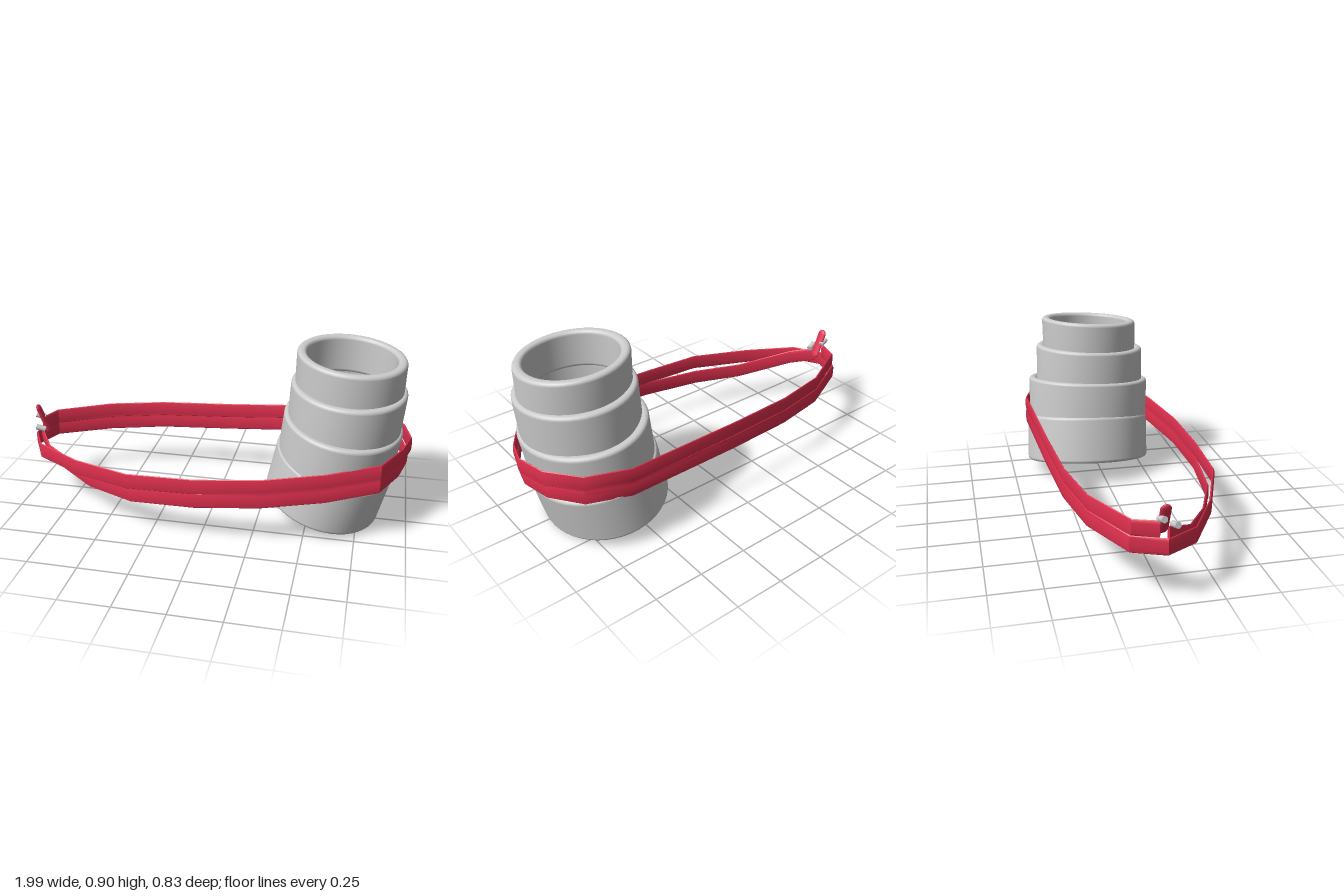
import * as THREE from 'three';
import { toCreasedNormals } from 'three/addons/utils/BufferGeometryUtils.js';

// Skins a list of closed rings; wrap joins the last ring back to the first.
function loft(rings, wrap) {
  const n = rings[0].length, m = rings.length, pos = [], idx = [];
  rings.forEach(r => r.forEach(p => pos.push(p.x, p.y, p.z)));
  for (let i = 0; i < (wrap ? m : m - 1); i++) {
    for (let j = 0; j < n; j++) {
      const a = i * n + j, b = i * n + (j + 1) % n;
      const k = ((i + 1) % m) * n, c = k + j, d = k + (j + 1) % n;
      idx.push(a, c, b, b, c, d);
    }
  }
  const g = new THREE.BufferGeometry();
  g.setAttribute('position', new THREE.Float32BufferAttribute(pos, 3));
  g.setIndex(idx);
  g.computeVertexNormals();
  return g;
}

// Frame of a sleeve end: centre, radii in x and z, slopes of its plane along x and z.
const frame = (x, y, z, rx, rz, sx, sz) => ({ x, y, z, rx, rz, sx, sz });

// Hollow oval sleeve with rounded lips between two tilted end frames.
function sleeveGeometry(bottom, top, wall = 0.046) {
  const f = 0.018, profile = [];
  const corner = (end, inset, dir, start) => {
    for (let k = 0; k <= 4; k++) {
      const a = start + k * Math.PI / 8;
      profile.push([end, inset - f * Math.cos(a), dir + f * Math.sin(a)]);
    }
  };
  corner(0, f, f, -Math.PI / 2);
  profile.splice(0, 5, ...profile.map(([e, , h], k) =>
    [e, f - f * Math.cos(-Math.PI / 2 + k * Math.PI / 8), h]));
  corner(1, f, -f, 0);
  corner(1, wall - f, -f, Math.PI / 2);
  corner(0, wall - f, f, Math.PI);
  const rings = profile.map(([end, inset, dy]) => {
    const height = top.y - bottom.y;
    const t = end + dy / height, p = {};
    for (const key in bottom) p[key] = THREE.MathUtils.lerp(bottom[key], top[key], t);
    return Array.from({ length: 48 }, (_, j) => {
      const a = j / 48 * Math.PI * 2;
      const dx = (p.rx - inset) * Math.cos(a), dz = (p.rz - inset) * Math.sin(a);
      return new THREE.Vector3(p.x + dx, p.y + p.sx * dx + p.sz * dz, p.z + dz);
    });
  });
  return loft(rings, true);
}

// Upright flat band with softly rounded edges, following straight path segments.
function bandGeometry(points, halfHeight, halfThick) {
  const path = points.map(p => new THREE.Vector3(...p));
  const up = new THREE.Vector3(0, 1, 0);
  const section = [[1, 0], [0.85, 0.6], [0.5, 0.92], [0, 1], [-0.5, 0.92], [-0.85, 0.6],
    [-1, 0], [-0.85, -0.6], [-0.5, -0.92], [0, -1], [0.5, -0.92], [0.85, -0.6]];
  const rings = path.map((p, i) => {
    const tangent = path[Math.min(i + 1, path.length - 1)].clone()
      .sub(path[Math.max(i - 1, 0)]).setY(0).normalize();
    const side = tangent.cross(up);
    return section.map(([u, v]) => p.clone()
      .addScaledVector(side, u * halfThick).addScaledVector(up, v * halfHeight));
  });
  const cap = p => section.map(() => p.clone());
  return toCreasedNormals(loft([cap(path[0]), ...rings, cap(path[path.length - 1])], false), 0.6);
}

export function createModel() {
  const model = new THREE.Group();
  const grey = new THREE.MeshStandardMaterial({ color: 0xcccccc });
  const red = new THREE.MeshStandardMaterial({ color: 0xe0304e, side: THREE.DoubleSide });
  const add = (name, geometry, material, parent = model) => {
    const mesh = new THREE.Mesh(geometry, material);
    mesh.name = name;
    parent.add(mesh);
    return mesh;
  };

  // Telescoping stack of four sleeves, leaning and narrowing upwards
  const tube = new THREE.Group();
  tube.name = 'telescopingTube';
  model.add(tube);
  [
    [frame(0.56, 0.075, -0.065, 0.292, 0.35, -0.24, -0.04),
      frame(0.62, 0.325, -0.055, 0.296, 0.347, -0.25, -0.05)],
    [frame(0.613, 0.29, -0.052, 0.285, 0.338, -0.25, -0.05),
      frame(0.65, 0.54, -0.042, 0.297, 0.342, -0.13, -0.06)],
    [frame(0.65, 0.51, -0.035, 0.28, 0.304, -0.13, -0.06),
      frame(0.667, 0.725, -0.03, 0.284, 0.302, -0.07, -0.06)],
    [frame(0.665, 0.69, -0.032, 0.265, 0.262, -0.07, -0.06),
      frame(0.67, 0.88, -0.032, 0.266, 0.264, -0.075, -0.065)],
  ].forEach(([b, t], i) => add('sleeve' + (i + 1), sleeveGeometry(b, t), grey, tube));

  // Strap: one band wound twice round the loop, the second turn below the first
  const strapPath = [
    [-0.965, 0.355, -0.04], [-0.925, 0.355, -0.15], [-0.66, 0.36, -0.287], [-0.37, 0.37, -0.347],
    [0, 0.38, -0.372], [0.62, 0.41, -0.408], [0.83, 0.42, -0.34], [0.95, 0.424, -0.2],
    [0.985, 0.422, -0.05], [0.945, 0.412, 0.08], [0.85, 0.39, 0.23], [0.6, 0.358, 0.318],
    [0.3, 0.33, 0.385], [-0.02, 0.307, 0.405], [-0.36, 0.295, 0.393], [-0.66, 0.283, 0.28],
    [-0.91, 0.283, 0.135], [-0.99, 0.283, -0.01], [-0.93, 0.283, -0.16], [-0.66, 0.285, -0.29],
    [-0.37, 0.297, -0.35], [0, 0.308, -0.375], [0.62, 0.338, -0.408], [0.83, 0.348, -0.34],
    [0.94, 0.352, -0.2], [0.97, 0.35, -0.05], [0.935, 0.34, 0.08], [0.85, 0.32, 0.23],
    [0.6, 0.285, 0.318], [0.3, 0.257, 0.385], [-0.02, 0.233, 0.405], [-0.35, 0.21, 0.37],
    [-0.6, 0.212, 0.268], [-0.87, 0.275, 0.12], [-0.955, 0.32, 0],
  ];
  add('strap', bandGeometry(strapPath, 0.04, 0.007), red);

  // Free end of the strap standing up at the fastening
  const flap = add('strapEnd', new THREE.CapsuleGeometry(0.025, 0.12, 4, 10), red);
  flap.scale.x = 0.4;
  flap.position.set(-0.952, 0.395, -0.02);
  flap.rotation.z = 0.38;

  // Two small studs that fasten the strap
  [[-0.972, 0.405, -0.035], [-0.95, 0.362, 0.03]].forEach(([x, y, z], i) => {
    const stud = add('stud' + (i + 1), new THREE.CylinderGeometry(0.015, 0.015, 0.05, 12), grey);
    stud.position.set(x, y, z);
    stud.rotation.set(0.6, 0, 1.2);
  });
  return model;
}
